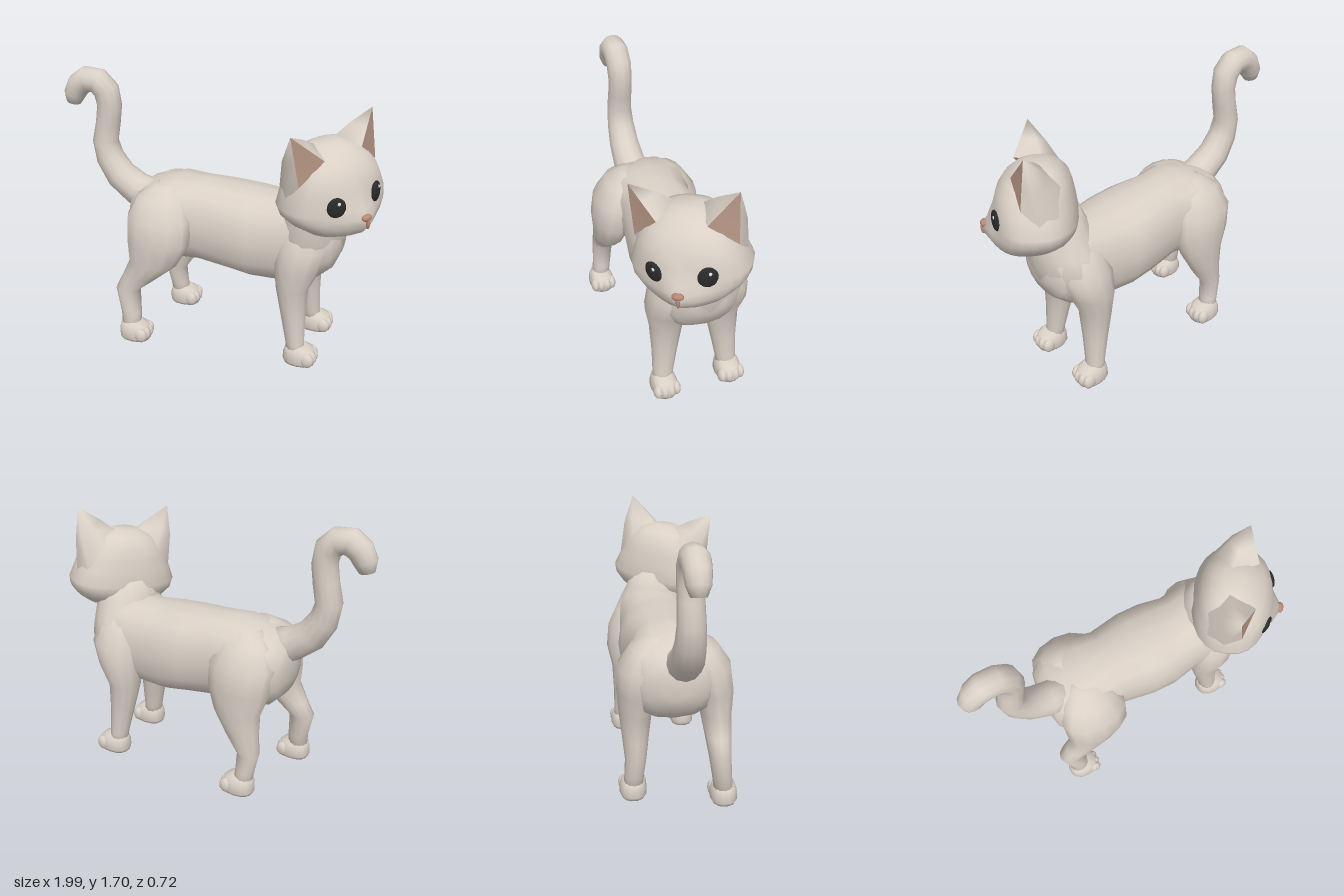
import * as THREE from 'three';
import { mergeVertices } from 'three/addons/utils/BufferGeometryUtils.js';

const V = (x, y, z) => new THREE.Vector3(x, y, z);
const material = (name, color, side = THREE.FrontSide) => {
  const m = new THREE.MeshStandardMaterial({ color, side });
  m.name = name;
  return m;
};

// Skin a row of rings { c, u, v }: centre and two half axes, with u x v pointing along the row.
function loft(rings, sides = 14, power = 1) {
  const pos = [], idx = [];
  const bend = (t) => Math.sign(t) * Math.abs(t) ** power;
  for (const { c, u, v } of rings) {
    for (let j = 0; j < sides; j++) {
      const a = (j / sides) * Math.PI * 2;
      const p = c.clone().addScaledVector(u, bend(Math.cos(a))).addScaledVector(v, bend(Math.sin(a)));
      pos.push(p.x, p.y, p.z);
    }
  }
  const n = rings.length, first = n * sides, last = first + 1;
  pos.push(...rings[0].c.toArray(), ...rings[n - 1].c.toArray());
  for (let j = 0; j < sides; j++) {
    const k = (j + 1) % sides, top = (n - 1) * sides;
    for (let i = 0; i < n - 1; i++) {
      const a = i * sides + j, b = i * sides + k;
      idx.push(a, b, a + sides, b, b + sides, a + sides);
    }
    idx.push(first, k, j, last, top + j, top + k);
  }
  const g = new THREE.BufferGeometry();
  g.setAttribute('position', new THREE.Float32BufferAttribute(pos, 3));
  g.setIndex(idx);
  g.computeVertexNormals();
  return g;
}

// Upright rings: [y, centre x, centre z, half x, half z]
const upright = (rows) => rows.map(([y, x, z, rx, rz]) => ({ c: V(x, y, z), u: V(0, 0, rz), v: V(rx, 0, 0) }));

export function createModel() {
  const fur = material('fur', 0xdad0c6, THREE.DoubleSide);
  const pink = material('inner ear pink', 0xb29382, THREE.DoubleSide);
  const noseMat = material('nose pink', 0xb98875);
  const dark = material('eye black', 0x2b2b2c);
  const white = material('eye glint', 0xf2f0ec);
  const padMat = material('paw pad brown', 0x8d7062);

  const cat = new THREE.Group();
  cat.name = 'cat';
  const add = (parent, name, geo, mat, p = [0, 0, 0], s = [1, 1, 1]) => {
    const m = new THREE.Mesh(geo, mat);
    m.name = name;
    m.position.set(...p);
    m.scale.set(...s);
    parent.add(m);
    return m;
  };
  const ball = new THREE.SphereGeometry(1, 14, 10);

  // Torso: [x, belly y, back y, half width]
  const torso = [
    [-0.55, 0.72, 0.87, 0.08], [-0.53, 0.64, 0.95, 0.18], [-0.46, 0.57, 1.005, 0.255],
    [-0.36, 0.54, 1.04, 0.28], [-0.24, 0.53, 1.07, 0.265], [-0.1, 0.53, 1.065, 0.23],
    [0.1, 0.51, 1.055, 0.265], [0.25, 0.485, 1.045, 0.265], [0.4, 0.48, 1.035, 0.235],
    [0.54, 0.5, 1.06, 0.25], [0.66, 0.54, 1.05, 0.24], [0.75, 0.62, 0.99, 0.19], [0.79, 0.72, 0.9, 0.1],
  ];
  add(cat, 'torso', loft(torso.map(([x, lo, hi, w]) => ({
    c: V(x, (lo + hi) / 2, -0.04), u: V(0, (hi - lo) / 2, 0), v: V(0, 0, w),
  })), 16, 0.85), fur);

  // Neck and breast
  add(cat, 'neck', loft(upright([
    [0.58, 0.6, -0.05, 0.1, 0.17], [0.7, 0.6, -0.05, 0.185, 0.245], [0.83, 0.6, -0.045, 0.205, 0.27],
    [0.92, 0.61, -0.025, 0.2, 0.25], [1.04, 0.63, 0.01, 0.185, 0.22], [1.15, 0.65, 0.03, 0.17, 0.19],
  ]), 16), fur);

  // Tail: [x, y, radius], curling backwards at the tip
  const tail = [
    [-0.4, 0.9, 0.11], [-0.53, 0.94, 0.105], [-0.64, 1.02, 0.097], [-0.71, 1.13, 0.088], [-0.735, 1.24, 0.08],
    [-0.71, 1.36, 0.076], [-0.695, 1.47, 0.076], [-0.71, 1.56, 0.08], [-0.765, 1.615, 0.08],
    [-0.84, 1.62, 0.08], [-0.895, 1.58, 0.075], [-0.928, 1.52, 0.068], [-0.94, 1.465, 0.045],
  ];
  add(cat, 'tail', loft(tail.map(([x, y, r], i) => {
    const a = tail[Math.max(i - 1, 0)], b = tail[Math.min(i + 1, tail.length - 1)];
    const t = V(b[0] - a[0], b[1] - a[1], 0).normalize();
    return { c: V(x, y, 0.005), u: V(-t.y * r, t.x * r, 0), v: V(0, 0, r) };
  }), 12), fur);

  // Legs
  const frontLeg = (side) => [
    [0.06, 0.58, 0.21, 0.06, 0.065], [0.14, 0.57, 0.205, 0.058, 0.066], [0.3, 0.55, 0.19, 0.075, 0.08],
    [0.5, 0.53, 0.175, 0.1, 0.105], [0.64, 0.555, 0.175, 0.14, 0.135], [0.78, 0.58, 0.16, 0.165, 0.135],
    [0.9, 0.58, 0.12, 0.14, 0.12], [0.99, 0.57, 0.08, 0.08, 0.08],
  ].map(([y, x, z, rx, rz]) => [y, x, -0.05 + side * z, rx, rz]);
  const legs = {
    rightFrontLeg: frontLeg(1),
    leftFrontLeg: frontLeg(-1),
    rightBackLeg: [
      [0.06, -0.49, 0.255, 0.06, 0.06], [0.18, -0.495, 0.24, 0.065, 0.06], [0.34, -0.52, 0.22, 0.08, 0.068],
      [0.44, -0.435, 0.22, 0.115, 0.08], [0.55, -0.345, 0.22, 0.155, 0.095], [0.7, -0.31, 0.205, 0.205, 0.125],
      [0.85, -0.31, 0.17, 0.21, 0.14], [0.97, -0.31, 0.12, 0.16, 0.11], [1.03, -0.3, 0.06, 0.08, 0.07],
    ],
    leftBackLeg: [
      [0.06, -0.355, -0.28, 0.06, 0.06], [0.16, -0.37, -0.275, 0.06, 0.06], [0.28, -0.385, -0.265, 0.07, 0.065],
      [0.4, -0.34, -0.26, 0.105, 0.08], [0.55, -0.3, -0.255, 0.15, 0.1], [0.7, -0.3, -0.24, 0.2, 0.125],
      [0.85, -0.31, -0.22, 0.21, 0.14], [0.97, -0.31, -0.17, 0.16, 0.11], [1.03, -0.3, -0.12, 0.08, 0.07],
    ],
  };
  const pawGeo = loft(upright([
    [0.004, 0, 0, 0.095, 0.072], [0.025, 0, 0, 0.103, 0.083], [0.07, 0, 0, 0.102, 0.082],
    [0.105, -0.005, 0, 0.088, 0.07], [0.125, -0.015, 0, 0.05, 0.05],
  ]), 14, 0.85);
  const padGeo = new THREE.CylinderGeometry(1, 1, 0.006, 14);
  for (const [name, rows] of Object.entries(legs)) {
    const leg = new THREE.Group();
    leg.name = name;
    cat.add(leg);
    add(leg, 'limb', loft(upright(rows), 12), fur);
    const paw = new THREE.Group();
    paw.name = 'paw';
    paw.position.set(rows[0][1] + 0.025, 0, rows[0][2]);
    leg.add(paw);
    add(paw, 'foot', pawGeo, fur);
    for (const [x, z] of [[0.058, -0.058], [0.068, -0.021], [0.068, 0.021], [0.058, 0.058]])
      add(paw, 'toe', ball, fur, [x, 0.052, z], [0.043, 0.048, 0.028]);
    add(paw, 'sole', padGeo, padMat, [0, 0.004, 0], [0.085, 1, 0.062]);
    add(paw, 'pad', padGeo, dark, [0, 0.003, 0], [0.025, 1, 0.02]);
  }

  // Head, turned to the side and slightly tilted; local +z is the face
  const head = new THREE.Group();
  head.name = 'head';
  head.position.set(0.72, 1.15, 0.055);
  head.rotation.set(0, 0.946, 0.11, 'YXZ');
  cat.add(head);
  // Skull: [y, half width, front depth, back depth]
  const skull = [
    [-0.235, 0.1, 0.15, 0.03], [-0.19, 0.22, 0.21, 0.15], [-0.14, 0.285, 0.22, 0.21], [-0.09, 0.325, 0.22, 0.24],
    [-0.04, 0.335, 0.212, 0.25], [0.05, 0.3, 0.215, 0.24], [0.13, 0.27, 0.2, 0.225], [0.2, 0.225, 0.155, 0.205],
    [0.255, 0.155, 0.09, 0.16], [0.285, 0.08, 0.03, 0.1],
  ];
  const skullGeo = loft(skull.map(([y, w, f, b]) => ({
    c: V(0, y, (f - b) / 2), u: V(0, 0, (f + b) / 2), v: V(w, 0, 0),
  })), 24, 0.85);
  // Swell the front of the face into a muzzle
  const face = skullGeo.attributes.position;
  for (let i = 0; i < face.count; i++) {
    const x = face.getX(i), y = face.getY(i) + 0.11, z = face.getZ(i);
    if (z > 0.1) face.setZ(i, z + 0.08 * Math.exp(-((x / 0.1) ** 2) - (y / (y > 0 ? 0.11 : 0.09)) ** 2));
  }
  skullGeo.computeVertexNormals();
  add(head, 'skull', skullGeo, fur);
  add(head, 'nose', ball, noseMat, [0, -0.082, 0.284], [0.034, 0.021, 0.022]);
  add(head, 'noseStripe', ball, noseMat, [0, -0.115, 0.291], [0.011, 0.036, 0.015]);

  // Ears and eyes, mirrored
  for (const s of [-1, 1]) {
    const label = s > 0 ? 'left' : 'right';
    const triangles = (list) => {
      let g = new THREE.BufferGeometry().setFromPoints(list.map((p) => V(p.x * s, p.y, p.z)));
      if (s < 0) g.setIndex(list.map((_, i) => (i % 3 === 0 ? i : i % 3 === 1 ? i + 1 : i - 1)));
      g = mergeVertices(g);
      g.computeVertexNormals();
      return g;
    };
    const tip = V(0.295, 0.41, 0.02);
    const outer = V(0.283, 0.115, 0.055), inner = V(0.135, 0.245, 0.105);
    const base = [outer, V(0.305, 0.02, -0.04), V(0.265, 0.06, -0.14), V(0.16, 0.18, -0.17), V(0.05, 0.265, -0.06), inner];
    const swell = [0, 0.014, 0.014, 0, -0.012, 0];
    const mid = base.map((p, i) => p.clone().lerp(tip, 0.52).add(V(swell[i], 0, i % 5 ? -0.01 : 0)));
    const shell = [];
    for (let i = 0; i < 5; i++)
      shell.push(base[i], base[i + 1], mid[i], base[i + 1], mid[i + 1], mid[i], mid[i], mid[i + 1], tip);
    add(head, label + 'EarShell', triangles(shell), fur);
    const hollow = V(0.245, 0.255, 0.05);
    add(head, label + 'InnerEar', triangles([outer, tip, hollow, tip, inner, hollow, inner, outer, hollow]), pink);

    const eye = new THREE.Group();
    eye.name = label + 'Eye';
    eye.position.set(s * 0.145, 0, 0.202);
    eye.rotation.y = s * 0.42;
    head.add(eye);
    add(eye, 'eyeball', ball, dark, [0, 0, 0], [0.055, 0.062, 0.018]);
    add(eye, 'glint', ball, white, [0.012, 0.027, 0.014], [0.01, 0.011, 0.005]);
  }
  return cat;
}
